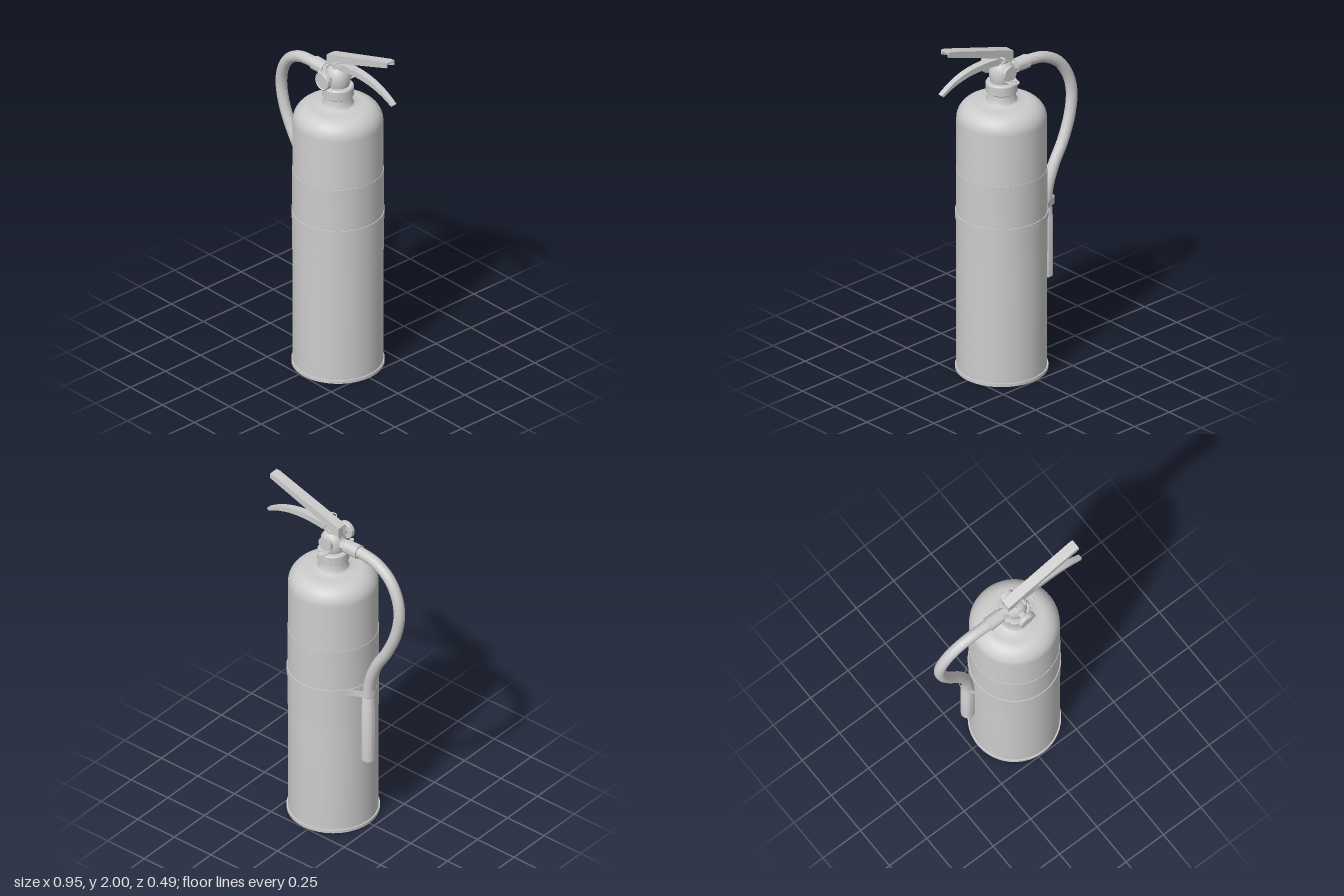
import * as THREE from 'three';
import { toCreasedNormals } from 'three/addons/utils/BufferGeometryUtils.js';

const CX = 0.03; // axis of the cylinder
const V2 = (p) => new THREE.Vector2(p[0], p[1]);
const V3 = (p) => new THREE.Vector3(p[0], p[1], p[2]);

export function createModel() {
  const model = new THREE.Group();
  const grey = new THREE.MeshStandardMaterial({ color: 0xcccccc });
  const thin = new THREE.MeshStandardMaterial({ color: 0xcccccc, side: THREE.DoubleSide });

  function add(name, geometry, pos = [0, 0, 0], parent = model, material = grey) {
    const mesh = new THREE.Mesh(toCreasedNormals(geometry, 0.6), material);
    mesh.name = name;
    mesh.position.set(...pos);
    parent.add(mesh);
    return mesh;
  }
  function group(name) {
    const g = new THREE.Group();
    g.name = name;
    model.add(g);
    return g;
  }
  const lathe = (pts, n = 64) => new THREE.LatheGeometry(pts.map(V2), n);
  const rod = (r0, r1, len, axis, n = 32) => {
    const g = new THREE.CylinderGeometry(r1, r0, len, n);
    if (axis === 'x') g.rotateZ(-Math.PI / 2);
    if (axis === 'z') g.rotateX(Math.PI / 2);
    return g;
  };
  // side profile in x-y, extruded in z and centred on z
  const plate = (shape, width, z = 0) => {
    const g = new THREE.ExtrudeGeometry(shape, { depth: width, bevelEnabled: false, curveSegments: 16 });
    return g.translate(0, 0, z - width / 2);
  };
  const poly = (pts) => new THREE.Shape(pts.map(V2));
  // upright band following a path in x-z
  const band = (pts, y0, y1) => {
    const curve = new THREE.CatmullRomCurve3(pts.map((p) => V3([p[0], 0, p[1]])), false, 'centripetal');
    const n = 40, g = new THREE.PlaneGeometry(1, 1, n, 1), pos = g.attributes.position;
    for (let i = 0; i < pos.count; i++) {
      const p = curve.getPoint((i % (n + 1)) / n);
      pos.setXYZ(i, p.x, i <= n ? y1 : y0, p.z);
    }
    g.computeVertexNormals();
    return g;
  };

  // Tank with rounded shoulder and neck fillet
  const profile = [[0, 0.012], [0.24, 0.012], [0.24, 1.47]];
  for (let i = 1; i <= 10; i++) {
    const a = (i / 10) * Math.PI / 2;
    profile.push([0.14 + 0.1 * Math.cos(a), 1.47 + 0.1 * Math.sin(a)]);
  }
  profile.push([0.1, 1.572], [0.085, 1.58], [0.077, 1.596], [0.075, 1.63], [0, 1.63]);
  add('tank', lathe(profile), [CX, 0, 0]);
  add('footRing', lathe([[0, 0], [0.247, 0], [0.247, 0.018], [0.24, 0.018]]), [CX, 0, 0]);
  add('label', lathe([[0.2395, 0.69], [0.2425, 0.69], [0.2425, 1.18], [0.2395, 1.18]]), [CX, 0, 0]);

  // Strap around the tank, looped out around the nozzle
  const strap = group('strap');
  add('strapRing', lathe([[0.239, 0.89], [0.247, 0.89], [0.247, 0.93], [0.239, 0.93]]), [CX, 0, 0], strap);
  add('nozzleLoop', band([[-0.165, -0.15], [-0.2, -0.115], [-0.24, -0.095], [-0.275, -0.083], [-0.288, -0.055],
    [-0.285, -0.02], [-0.262, 0.005], [-0.24, 0.035], [-0.21, 0.075], [-0.18, 0.12]], 0.89, 0.93),
  [0, 0, 0], strap, thin);

  // Collar and valve body
  const valve = group('valve');
  add('collar', lathe([[0, 1.625], [0.075, 1.625], [0.085, 1.633], [0.085, 1.682], [0.079, 1.69], [0, 1.69]], 48),
    [CX, 0, 0], valve);
  add('valveBody', lathe([[0, 1.688], [0.06, 1.688], [0.066, 1.71], [0.066, 1.765], [0.05, 1.79], [0.035, 1.8],
    [0.035, 1.815], [0, 1.815]], 40), [CX, 0, 0], valve);
  add('leverMount', new THREE.BoxGeometry(0.1, 0.07, 0.036), [0.025, 1.805, 0], valve);
  add('backCap', rod(0.042, 0.042, 0.02, 'z'), [CX, 1.75, -0.062], valve);
  add('valveStem', rod(0.014, 0.014, 0.05, 'y', 16), [CX, 1.82, 0], valve);

  // Pressure gauge
  const gauge = group('gauge');
  add('gaugeStem', rod(0.022, 0.022, 0.06, 'z'), [CX, 1.75, 0.072], gauge);
  const dial = lathe([[0, 0], [0.046, 0], [0.051, 0.005], [0.051, 0.026], [0.046, 0.031], [0.043, 0.027], [0, 0.027]], 40);
  add('gaugeDial', dial.rotateX(Math.PI / 2), [CX, 1.75, 0.09], gauge);

  // Hanging tab with hole at the back
  const tab = new THREE.Shape();
  tab.moveTo(-0.03, 0);
  tab.lineTo(0.03, 0);
  tab.lineTo(0.03, 0.095);
  tab.absarc(0, 0.095, 0.03, 0, Math.PI);
  tab.closePath();
  tab.holes.push(new THREE.Path().absarc(0, 0.098, 0.017, 0, Math.PI * 2, true));
  add('hangingTab', plate(tab, 0.005).rotateX(-Math.PI / 2), [CX, 1.71, 0]);

  // Carrying handle: channel open below
  const handle = group('upperHandle');
  add('handleTop', plate(poly([[-0.03, 1.855], [0, 1.866], [0.415, 1.998], [0.44, 2], [0.44, 1.99],
    [0.415, 1.988], [0, 1.856], [-0.03, 1.845]]), 0.056), [0, 0, 0], handle);
  const wall = poly([[-0.03, 1.855], [0, 1.866], [0.415, 1.998], [0.44, 2], [0.44, 1.972],
    [0.08, 1.845], [0.045, 1.832], [0.02, 1.8], [-0.03, 1.8]]);
  for (const s of [-1, 1]) add('handleSide', plate(wall, 0.007, s * 0.0245), [0, 0, 0], handle);

  // Squeeze lever: curved channel narrowing towards its tip
  const lever = group('lowerLever');
  const arc = (drop) => {
    const s = new THREE.Shape();
    s.moveTo(0.02, 1.832);
    s.bezierCurveTo(0.2, 1.85, 0.33, 1.85, 0.472, 1.752);
    s.lineTo(0.462, 1.74);
    s.bezierCurveTo(0.34, 1.832 - drop, 0.22, 1.838 - drop, 0.1, 1.826 - drop);
    s.lineTo(0.02, 1.826 - drop);
    s.closePath();
    return s;
  };
  const taper = (g) => {
    const p = g.attributes.position;
    for (let i = 0; i < p.count; i++) {
      p.setZ(i, p.getZ(i) * (1 - 0.36 * THREE.MathUtils.clamp((p.getX(i) - 0.1) / 0.37, 0, 1)));
    }
    return g;
  };
  add('leverTop', taper(plate(arc(0), 0.046)), [0, 0, 0], lever);
  for (const s of [-1, 1]) add('leverSide', taper(plate(arc(0.024), 0.007, s * 0.0195)), [0, 0, 0], lever);

  // Safety pin with pull ring and seal
  const pin = group('safetyPin');
  add('pinShaft', rod(0.006, 0.006, 0.125, 'z', 12), [0.06, 1.842, 0], pin);
  add('pullRing', new THREE.TorusGeometry(0.024, 0.0035, 8, 32).rotateX(Math.PI / 2), [0.088, 1.84, 0.06], pin);
  const seal = new THREE.CatmullRomCurve3([[-0.05, 1.745, 0.055], [-0.02, 1.785, 0.04], [0.02, 1.825, 0.042],
    [0.06, 1.84, 0.05]].map(V3));
  add('sealWire', new THREE.TubeGeometry(seal, 20, 0.0025, 6), [0, 0, 0], pin);
  add('seal', rod(0.012, 0.012, 0.014, 'y', 16), [-0.05, 1.745, 0.055], pin);

  // Hose, its fittings and the nozzle
  const hose = group('hose');
  add('outlet', rod(0.027, 0.027, 0.09, 'x'), [-0.03, 1.743, 0], hose);
  add('outletNut', rod(0.033, 0.033, 0.022, 'x', 6), [-0.05, 1.743, 0], hose);
  add('hoseFerrule', rod(0.039, 0.037, 0.088, 'x'), [-0.105, 1.743, 0], hose);
  const path = new THREE.CatmullRomCurve3([[-0.1, 1.743, 0], [-0.18, 1.742, 0], [-0.27, 1.728, -0.005],
    [-0.365, 1.672, -0.013], [-0.425, 1.58, -0.022], [-0.446, 1.48, -0.03], [-0.427, 1.35, -0.036],
    [-0.372, 1.215, -0.042], [-0.305, 1.1, -0.045], [-0.262, 0.99, -0.046], [-0.248, 0.9, -0.046],
    [-0.247, 0.82, -0.046]].map(V3));
  add('hoseTube', new THREE.TubeGeometry(path, 90, 0.031, 20), [0, 0, 0], hose);
  const nozzle = lathe([[0, 0.5], [0.029, 0.49], [0.031, 0.465], [0.037, 0.465], [0.037, 0.815], [0.033, 0.825],
    [0.033, 0.865], [0.03, 0.872], [0, 0.872]], 32);
  add('nozzle', nozzle, [-0.247, 0, -0.046], hose, thin);

  return model;
}
